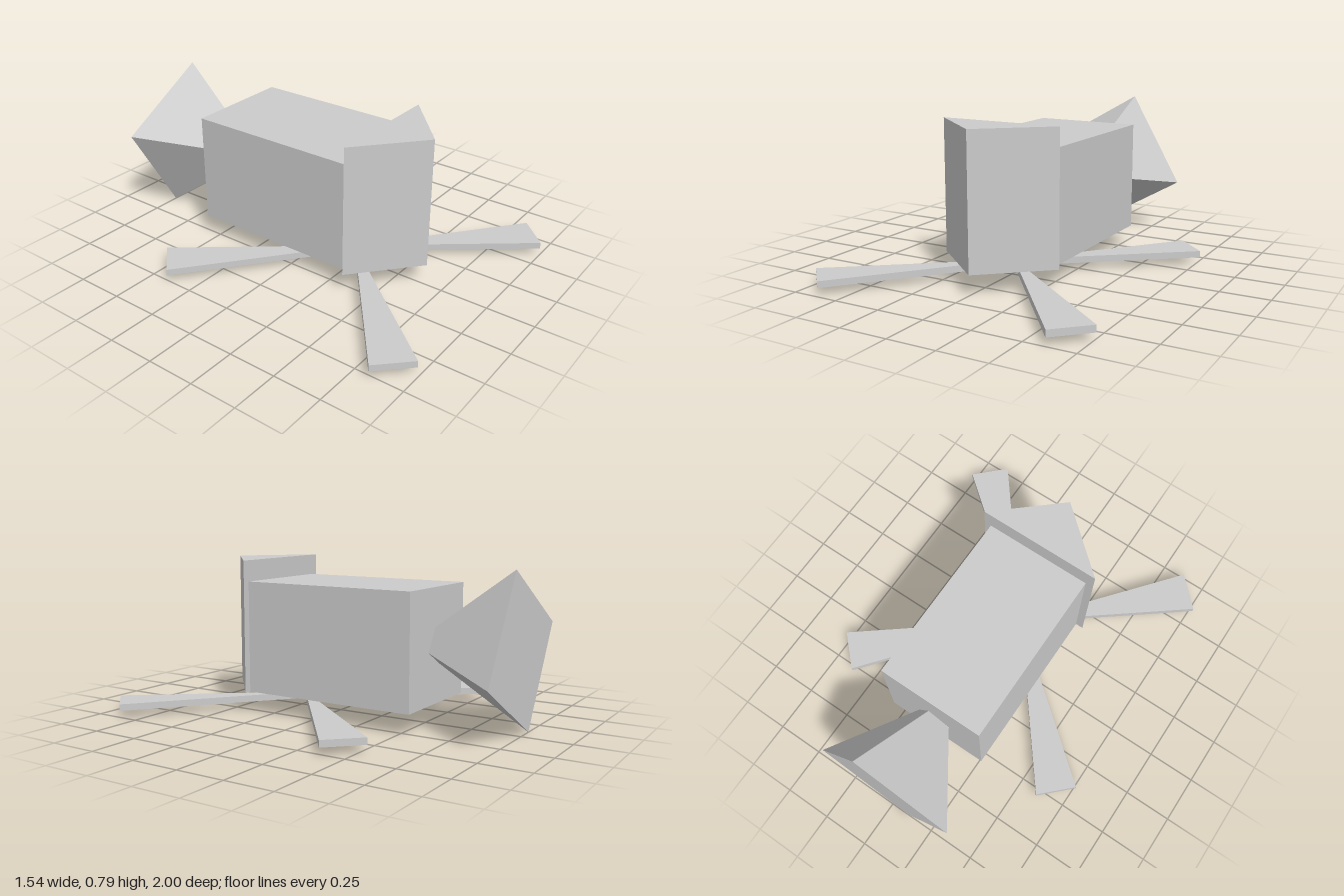
import * as THREE from 'three';

const material = new THREE.MeshStandardMaterial({ color: 0xcccccc, flatShading: true });

function addPart(parent, name, geometry, x = 0, y = 0, z = 0) {
  const mesh = new THREE.Mesh(geometry, material);
  mesh.name = name;
  mesh.position.set(x, y, z);
  parent.add(mesh);
  return mesh;
}

// Upright prism from [x, z] corners, with its top at y = 0
function prism(corners, height) {
  const shape = new THREE.Shape(corners.map(([x, z]) => new THREE.Vector2(x, z)));
  return new THREE.ExtrudeGeometry(shape, { depth: height, bevelEnabled: false }).rotateX(Math.PI / 2);
}

export function createModel() {
  const model = new THREE.Group();
  model.name = 'model';

  // Boxy body
  addPart(model, 'body', new THREE.BoxGeometry(0.57, 0.575, 0.935), 0.012, 0.397, -0.097);

  // Wedge nose, a little wider and taller than the body
  addPart(model, 'nose', prism([[-0.325, 0], [0.325, 0], [0, 0.285]], 0.685), 0.01, 0.793, 0.371);

  // Four-sided pyramid tail, tilted, with its tip buried in the body
  const tail = new THREE.ConeGeometry(0.409, 0.57, 4).rotateX(Math.PI / 2).rotateZ(-0.262);
  addPart(model, 'tail', tail, 0.01, 0.396, -0.715);

  // Rotor below the body: hub and four tapered blades
  const rotor = new THREE.Group();
  rotor.name = 'rotor';
  rotor.position.set(0, 0, 0.227);
  model.add(rotor);
  addPart(rotor, 'hub', new THREE.CylinderGeometry(0.152, 0.152, 0.045, 16), 0, 0.0945, 0);

  const radius = 0.981, halfAngle = 0.11;
  for (let i = 0; i < 4; i++) {
    const angle = 0.793 + i * Math.PI / 2;
    const tip = a => [radius * Math.cos(a), radius * Math.sin(a)];
    addPart(rotor, 'blade' + (i + 1),
      prism([[0, 0], tip(angle - halfAngle), tip(angle + halfAngle)], 0.034), 0, 0.072, 0);
  }
  return model;
}
